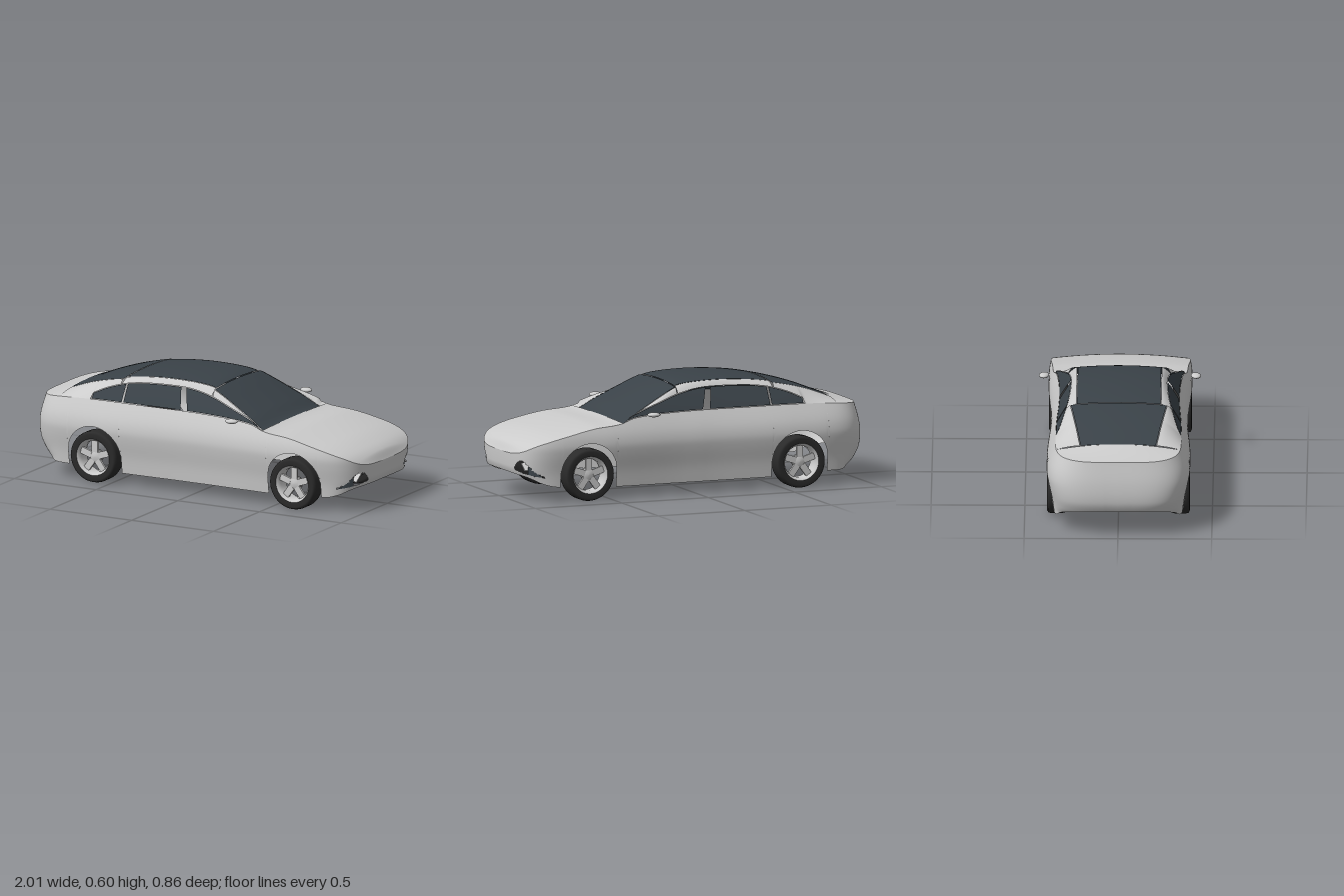
import * as THREE from 'three';

const paint = new THREE.MeshStandardMaterial({ color: 0xcccccc, side: THREE.DoubleSide });
const glass = new THREE.MeshStandardMaterial({ color: 0x3a4248, side: THREE.DoubleSide });
const rubber = new THREE.MeshStandardMaterial({ color: 0x2a2a2a, side: THREE.DoubleSide });

const { lerp, smoothstep } = THREE.MathUtils;

// Smooth function through [x, y] points
function curve(...p) {
  const slope = (i) => {
    const a = p[Math.max(i - 1, 0)], b = p[Math.min(i + 1, p.length - 1)];
    return (b[1] - a[1]) / (b[0] - a[0]);
  };
  return (x) => {
    if (x <= p[0][0]) return p[0][1];
    if (x >= p[p.length - 1][0]) return p[p.length - 1][1];
    let i = 0;
    while (x > p[i + 1][0]) i++;
    const h = p[i + 1][0] - p[i][0], t = (x - p[i][0]) / h, t2 = t * t, t3 = t2 * t;
    return (2 * t3 - 3 * t2 + 1) * p[i][1] + (t3 - 2 * t2 + t) * h * slope(i)
      + (3 * t2 - 2 * t3) * p[i + 1][1] + (t3 - t2) * h * slope(i + 1);
  };
}

// Body lines along the length of the car
const top = curve([-1, 0.425], [-0.9, 0.447], [-0.82, 0.47], [-0.7, 0.515], [-0.6, 0.545], [-0.5, 0.568],
  [-0.4, 0.585], [-0.25, 0.598], [-0.12, 0.6], [0, 0.594], [0.07, 0.583], [0.14, 0.555], [0.22, 0.517],
  [0.33, 0.462], [0.43, 0.41], [0.6, 0.398], [0.8, 0.365], [0.9, 0.335], [0.97, 0.297], [1, 0.25]);
const edge = curve([-1, 0.425], [-0.8, 0.44], [-0.6, 0.448], [-0.3, 0.447], [0.1, 0.443], [0.35, 0.428],
  [0.45, 0.4], [0.6, 0.385], [0.75, 0.355], [0.85, 0.33], [0.93, 0.3], [1, 0.25]);
const windowTop = curve([-0.63, 0.475], [-0.54, 0.515], [-0.43, 0.545], [-0.3, 0.558], [-0.1, 0.56],
  [0, 0.55], [0.1, 0.528], [0.2, 0.496], [0.33, 0.455], [0.4, 0.428]);
const sill = curve([-1, 0.145], [-0.95, 0.12], [-0.87, 0.085], [-0.75, 0.08], [-0.43, 0.065],
  [0.47, 0.065], [0.8, 0.08], [0.9, 0.1], [0.96, 0.13], [1, 0.145]);
// Half width by height, and end positions by height
const width = curve([0.06, 0.345], [0.15, 0.357], [0.25, 0.378], [0.3, 0.383], [0.36, 0.372],
  [0.44, 0.338], [0.5, 0.305], [0.56, 0.267], [0.6, 0.23]);
const noseIn = curve([0.08, -0.04], [0.12, -0.02], [0.18, 0], [0.4, 0]);
const tailIn = curve([0.1, 0.06], [0.14, 0.025], [0.2, 0], [0.3, 0], [0.43, 0.025]);

const WHEELS = [-0.59, 0.63], ARCH = 0.16;

function bottom(x) {
  for (const c of WHEELS) {
    const d = Math.abs(x - c);
    if (d < ARCH) return 0.15 + Math.sqrt(ARCH * ARCH - d * d);
  }
  return sill(x);
}
const plan = (x) => Math.pow(Math.max(0, 1 - Math.pow(Math.max(0, Math.abs(x) - 0.6) / 0.4, 4)), 0.25);
const waist = (x) => 1 - 0.045 * (1 - smoothstep(Math.abs(x), 0.05, 0.55));

// Point on the body side at length x and height y
function side(x, y) {
  const shift = x > 0 ? noseIn(y) : tailIn(y);
  return [x + smoothstep(Math.abs(x), 0.8, 1) * shift, y, plan(x) * waist(x) * width(y)];
}

// Stations along x: even in the middle, following the rounded plan at the ends
const stations = [];
for (let i = -93; i <= 93; i++) stations.push(i / 100);
for (let i = 0; i < 40; i++) {
  const z = plan(0.93) * (i / 40), x = 0.6 + 0.4 * Math.pow(1 - z ** 4, 0.25);
  stations.push(x, -x);
}
for (const c of WHEELS) for (const s of [-1, 1]) stations.push(c + s * 0.1599, c + s * 0.1601);
stations.sort((a, b) => a - b);
const between = (a, b) => [a, ...stations.filter((x) => x > a + 1e-4 && x < b - 1e-4), b];

// Surface over a grid; fn(i, v) gives a point, skip(point) leaves a hole
function sheet(name, material, nu, nv, fn, mirror = 1, skip = null) {
  const pos = [], index = [];
  for (let i = 0; i <= nu; i++) for (let j = 0; j <= nv; j++) {
    const [x, y, z] = fn(i, j / nv);
    pos.push(x, y, z * mirror);
  }
  for (let i = 0; i < nu; i++) for (let j = 0; j < nv; j++) {
    const a = i * (nv + 1) + j, b = a + nv + 1;
    const mid = [0, 1, 2].map((k) => (pos[a * 3 + k] + pos[(b + 1) * 3 + k]) / 2);
    if (skip && skip(mid[0], mid[1], Math.abs(mid[2]))) continue;
    if (mirror > 0) index.push(a, b, b + 1, a, b + 1, a + 1);
    else index.push(a, b + 1, b, a, a + 1, b + 1);
  }
  const g = new THREE.BufferGeometry();
  g.setAttribute('position', new THREE.Float32BufferAttribute(pos, 3));
  g.setIndex(index);
  g.computeVertexNormals();
  const m = new THREE.Mesh(g, material);
  m.name = name;
  return m;
}

// Bumper intake outline, heights by distance from the centre
const intakeLow = curve([0.19, 0.17], [0.26, 0.152], [0.33, 0.135]);
const intakeHigh = curve([0.19, 0.172], [0.215, 0.203], [0.25, 0.22], [0.275, 0.212], [0.33, 0.138]);
const inIntake = (x, y, z) => x > 0.8 && z > 0.19 && z < 0.33 && y > intakeLow(z) && y < intakeHigh(z);

// Top glass panels: start x, end x, half widths at both
const TOP_GLASS = [
  ['rearWindow', -0.82, -0.47, 0.2, 0.255],
  ['roofGlass', -0.465, 0.08, 0.222, 0.222],
  ['windshield', 0.085, 0.43, 0.245, 0.31],
];
// Side windows: bottom start and end, top start and end
const SIDE_GLASS = [
  ['quarterWindow', -0.62, -0.44, -0.62, -0.44],
  ['rearDoorWindow', -0.43, -0.085, -0.43, -0.115],
  ['frontDoorWindow', -0.045, 0.395, -0.085, 0.395],
];
const roofY = (x, z) => top(x) - 0.012 * (z / 0.24) ** 2;

function makeWheel(x, s) {
  const wheel = new THREE.Group();
  wheel.name = 'wheel';
  const lathe = (name, material, pts) => {
    const m = new THREE.Mesh(new THREE.LatheGeometry(pts.map((p) => new THREE.Vector2(...p)), 48), material);
    m.rotation.x = Math.PI / 2;
    m.name = name;
    wheel.add(m);
  };
  lathe('tyre', rubber, [[0.1, -0.05], [0.125, -0.05], [0.136, -0.044], [0.14, -0.03], [0.14, 0.03],
    [0.136, 0.044], [0.125, 0.05], [0.1, 0.046]]);
  lathe('rim', paint, [[0.092, -0.048], [0.085, -0.02], [0.085, 0.02], [0.092, 0.038], [0.102, 0.046]]);
  lathe('hub', paint, [[0, -0.01], [0.036, -0.01], [0.036, 0.018], [0.026, 0.026], [0, 0.028]]);
  for (let i = 0; i < 5; i++) {
    const spoke = new THREE.Mesh(new THREE.BoxGeometry(0.036, 0.068, 0.014), paint);
    const a = (i / 5) * Math.PI * 2;
    spoke.position.set(-Math.sin(a) * 0.058, Math.cos(a) * 0.058, 0.02);
    spoke.rotation.z = a;
    spoke.name = 'spoke';
    wheel.add(spoke);
  }
  wheel.position.set(x, 0.14, s * 0.33);
  if (s < 0) wheel.rotation.y = Math.PI;
  return wheel;
}

export function createModel() {
  const car = new THREE.Group();
  car.name = 'car';

  for (const s of [1, -1]) {
    // Side panel with wheel arches, wrapping round to the nose and tail
    const all = between(-1, 1);
    car.add(sheet('bodySide', paint, all.length - 1, 30,
      (i, v) => side(all[i], lerp(bottom(all[i]), edge(all[i]), v)), s, inIntake));

    // Hood and rear deck
    for (const [name, a, b] of [['hood', 0.43, 1], ['rearDeck', -1, -0.82]]) {
      const xs = between(a, b);
      car.add(sheet(name, paint, xs.length - 1, 14, (i, v) => {
        const [x, y, z] = side(xs[i], edge(xs[i]));
        return [x, lerp(y, top(xs[i]), 1 - (1 - v) ** 2), z * (1 - v)];
      }, s));
    }

    // Roof rails and pillars from the window line to the top glass
    for (const [, a, b, za, zb] of TOP_GLASS) {
      const xs = between(a, b);
      car.add(sheet('roofRail', paint, xs.length - 1, 8, (i, v) => {
        const x = xs[i], inside = x > -0.63 && x < 0.4;
        const low = side(x, inside ? Math.max(edge(x), windowTop(x)) : edge(x));
        const zg = lerp(za, zb, (x - a) / (b - a)) + 0.004;
        return [x, lerp(low[1], roofY(x, zg), 1 - (1 - v) ** 1.5), lerp(low[2], zg, v)];
      }, s));
    }

    // Side windows with open gaps at the pillars
    for (const [name, b0, b1, t0, t1] of SIDE_GLASS) {
      car.add(sheet(name, glass, 30, 6, (i, v) => {
        const u = i / 30, x = lerp(lerp(b0, b1, u), lerp(t0, t1, u), v);
        const lo = edge(x) + 0.003, hi = Math.max(lo, windowTop(x) - 0.003);
        return side(x, lerp(lo, hi, v));
      }, s));
    }

    // Dark corner and fin inside the bumper intake
    car.add(sheet('intakeCorner', glass, 8, 4, (i, v) => {
      const z = lerp(0.33, 0.278, i / 8);
      const x = 0.59 + 0.4 * Math.pow(1 - (z / 0.362) ** 4, 0.25);
      return [x, lerp(intakeLow(z), intakeHigh(z), v), z];
    }, s));
    const fin = new THREE.Mesh(new THREE.BoxGeometry(0.03, 0.008, 0.06), paint);
    fin.position.set(0.95, 0.185, s * 0.245);
    fin.rotation.x = s * 0.6;
    fin.name = 'intakeFin';
    car.add(fin);

    // Door mirror
    const mirror = new THREE.Mesh(new THREE.SphereGeometry(1, 24, 16), paint);
    mirror.geometry.scale(0.035, 0.013, 0.026);
    mirror.position.set(0.275, 0.449, s * 0.405);
    mirror.rotation.y = s * 0.2;
    mirror.name = 'mirror';
    car.add(mirror);

    for (const x of WHEELS) car.add(makeWheel(x, s));
  }

  // Windshield, roof glass and rear window
  for (const [name, a, b, za, zb] of TOP_GLASS) {
    car.add(sheet(name, glass, 30, 20, (i, v) => {
      const x = lerp(a, b, i / 30), z = lerp(za, zb, i / 30) * (1 - 2 * v);
      return [x, roofY(x, z), z];
    }));
  }
  return car;
}
